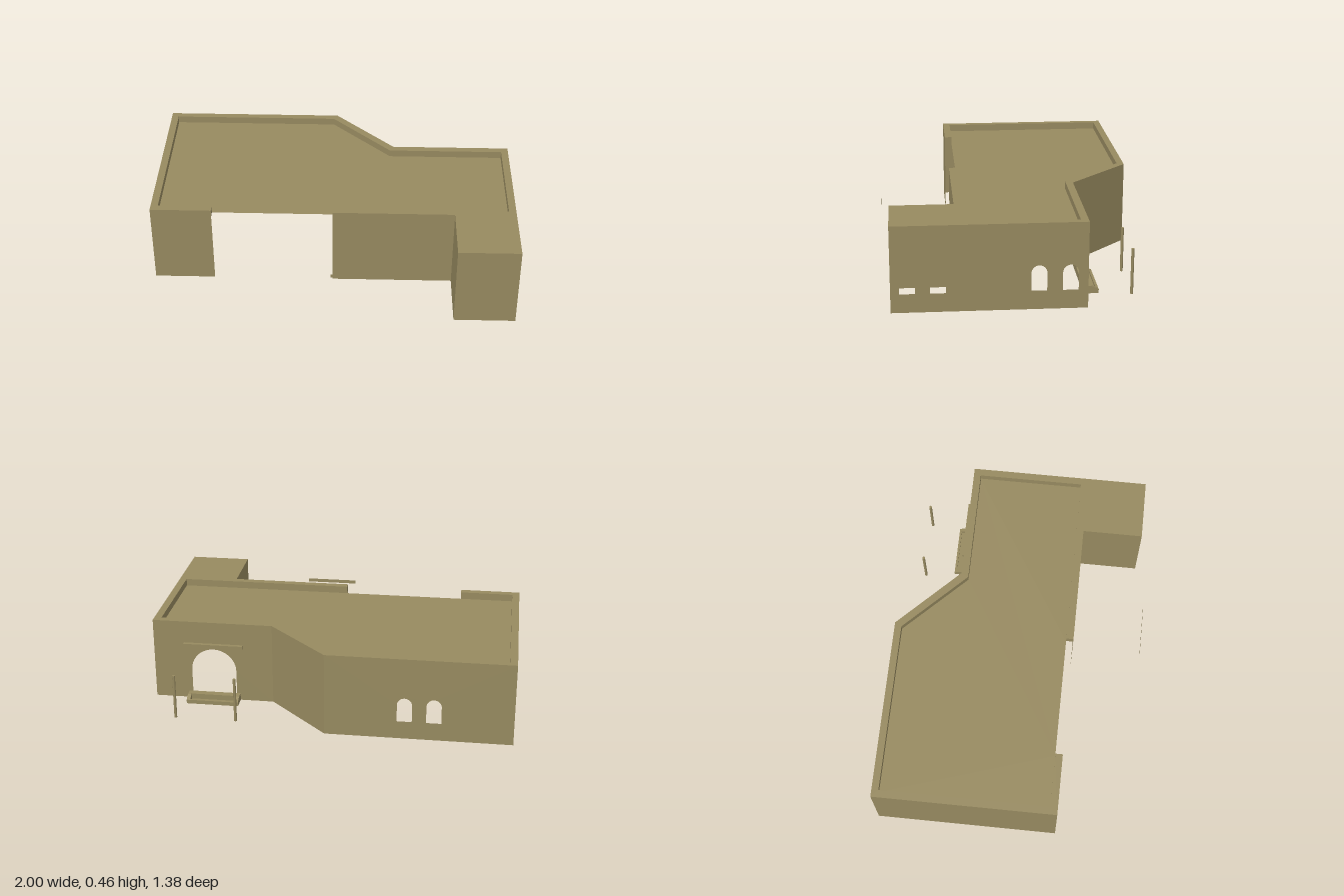
import * as THREE from 'three';

export function createModel() {
  const group = new THREE.Group();
  const adobe = new THREE.MeshStandardMaterial({ color: 0x978a60, side: THREE.DoubleSide });
  adobe.name = 'adobe';
  const H = 0.46, ROOF = 0.42;

  function add(name, geometry) {
    const mesh = new THREE.Mesh(geometry, adobe);
    mesh.name = name;
    group.add(mesh);
    return mesh;
  }

  // Round-headed opening, as a path in wall coordinates
  function arch(centre, width, sill, top) {
    const r = width / 2, p = new THREE.Path();
    p.moveTo(centre - r, sill);
    p.lineTo(centre + r, sill);
    p.lineTo(centre + r, top - r);
    p.absarc(centre, top - r, r, 0, Math.PI, false);
    p.closePath();
    return p;
  }

  // Thin upright sheet between two plan points [x, z]
  function wall(name, a, b, y0, y1, holes = []) {
    const dx = b[0] - a[0], dz = b[1] - a[1], len = Math.hypot(dx, dz);
    const s = new THREE.Shape([[0, y0], [len, y0], [len, y1], [0, y1]].map(p => new THREE.Vector2(...p)));
    s.holes = holes;
    const m = add(name, new THREE.ShapeGeometry(s, 10));
    m.position.set(a[0], 0, a[1]);
    m.rotation.y = Math.atan2(-dz, dx);
  }

  // Level sheet from plan points
  function deck(name, points, y) {
    const s = new THREE.Shape(points.map(([x, z]) => new THREE.Vector2(x, -z)));
    add(name, new THREE.ShapeGeometry(s).rotateX(-Math.PI / 2).translate(0, y, 0));
  }

  function box(name, x0, x1, y0, y1, z0, z1) {
    add(name, new THREE.BoxGeometry(x1 - x0, y1 - y0, z1 - z0)
      .translate((x0 + x1) / 2, (y0 + y1) / 2, (z0 + z1) / 2));
  }

  // Outer walls, running round from the front opening
  const outer = [[0, 0.31], [0.665, 0.31], [0.665, 0.645], [1, 0.645], [1, -0.355],
    [0.335, -0.355], [0, -0.69], [-1, -0.69], [-1, 0.31], [-0.665, 0.31]];
  const names = ['frontWall', 'wingInnerWall', 'wingFrontWall', 'leftWall', 'archWall',
    'diagonalWall', 'backWall', 'rightWall', 'frontCornerWall'];
  const windows = centres => centres.map(c => arch(c, 0.08, 0.1, 0.235));
  const openings = {
    leftWall: windows([0.56, 0.405, -0.105, -0.265].map(z => 0.645 - z)),
    backWall: windows([0.58, 0.425]),
  };
  names.forEach((n, i) => {
    if (n !== 'archWall') wall(n, outer[i], outer[i + 1], 0, H, openings[n]);
  });

  // Wall with the doorway cut up from the ground
  const d = new THREE.Shape();
  d.moveTo(0, 0);
  d.lineTo(0.21, 0);
  d.lineTo(0.21, 0.175);
  d.absarc(0.335, 0.175, 0.125, Math.PI, 0, true);
  d.lineTo(0.46, 0);
  d.lineTo(0.665, 0);
  d.lineTo(0.665, H);
  d.lineTo(0, H);
  const archWall = add('archWall', new THREE.ShapeGeometry(d, 16));
  archWall.position.set(1, 0, -0.355);
  archWall.rotation.y = Math.PI;

  // Sunken roof, parapet and wing roof
  const inner = [[0, 0.27], [0.96, 0.27], [0.96, -0.315], [0.315, -0.315],
    [-0.02, -0.652], [-0.96, -0.652], [-0.96, 0.27], [-0.665, 0.27]];
  deck('roof', inner, ROOF);
  const main = [[0, 0.31], [1, 0.31], ...outer.slice(4)];
  deck('parapetTop', [...main, ...inner.slice().reverse()], H);
  for (let i = 0; i < inner.length - 1; i++) wall('parapetInside', inner[i + 1], inner[i], ROOF, H);
  wall('parapetEnd', [0, 0.27], [0, 0.31], ROOF, H);
  wall('parapetEnd', [-0.665, 0.31], [-0.665, 0.27], ROOF, H);
  deck('wingRoof', [[0.665, 0.31], [1, 0.31], [1, 0.645], [0.665, 0.645]], H);

  // Beam above the arch, posts and the loose front strip
  box('archBeam', 0.5, 0.83, 0.315, 0.335, -0.376, -0.355);
  for (const x of [0.498, 0.83]) {
    add('post', new THREE.CylinderGeometry(0.008, 0.008, 0.25, 8).translate(x, 0.125, -0.607));
  }
  wall('frontStrip', [0, 0.69], [0.29, 0.69], 0.315, 0.335);

  // Trough below the arch, with sloping ends
  const end = new THREE.Shape([[0.355, 0], [0.437, 0], [0.437, 0.022], [0.4, 0.04], [0.355, 0.04]]
    .map(p => new THREE.Vector2(...p)));
  for (const x of [0.52, 0.79]) {
    add('troughEnd', new THREE.ExtrudeGeometry(end, { depth: 0.02, bevelEnabled: false })
      .rotateY(Math.PI / 2).translate(x, 0, 0));
  }
  box('troughBack', 0.54, 0.79, 0, 0.04, -0.393, -0.355);
  box('troughFront', 0.54, 0.79, 0, 0.022, -0.437, -0.424);
  box('troughFloor', 0.54, 0.79, 0, 0.01, -0.424, -0.393);

  return group;
}
